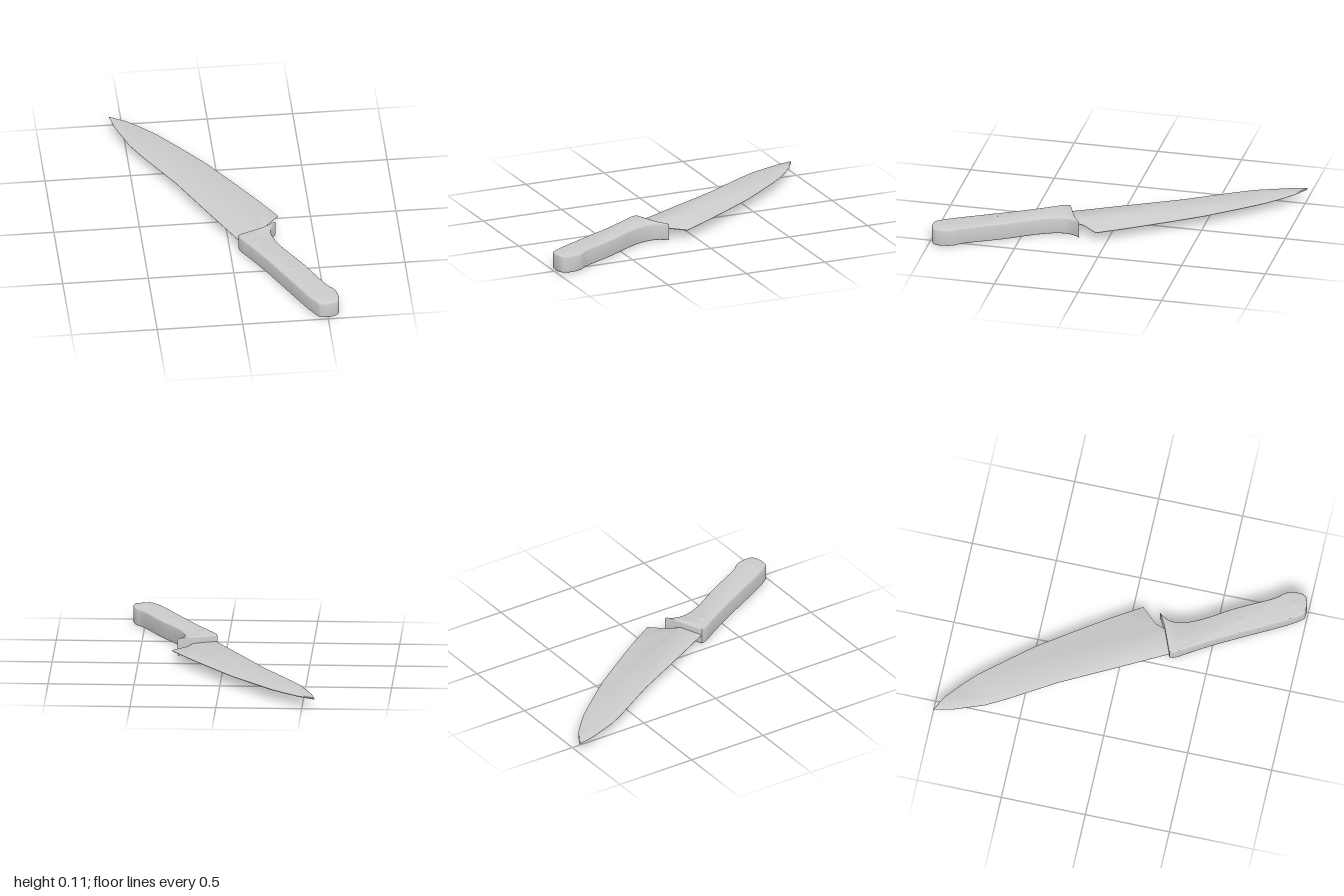
import * as THREE from 'three';
import { toCreasedNormals } from 'three/addons/utils/BufferGeometryUtils.js';

const material = new THREE.MeshStandardMaterial({ color: 0xcccccc });
const toPoints = (list) => list.map(([x, z]) => new THREE.Vector2(x, -z));
const smooth = (list, n) => new THREE.SplineCurve(toPoints(list)).getPoints(n);

// Plate lying flat: plan outline extruded upwards from y0 to y1 with bevelled rims
function plate(name, points, y0, y1, bevel, inset, segments) {
  const geometry = new THREE.ExtrudeGeometry(new THREE.Shape(points), {
    depth: y1 - y0 - 2 * bevel, steps: 1, bevelEnabled: true,
    bevelThickness: bevel, bevelSize: inset, bevelOffset: -inset, bevelSegments: segments,
  });
  geometry.translate(0, 0, y0 + bevel);
  geometry.rotateX(-Math.PI / 2);
  const mesh = new THREE.Mesh(toCreasedNormals(geometry, 0.6), material);
  mesh.name = name;
  return mesh;
}

export function createModel() {
  const knife = new THREE.Group();
  knife.name = 'kitchenKnife';

  // Blade: curved cutting edge, notched heel, short tang inside the handle, straight spine
  const blade = toPoints([
    [-0.575, -1], [-0.48, -0.947], [-0.4, -0.88], [-0.315, -0.8], [-0.205, -0.67],
    [-0.065, -0.5], [0.08, -0.29], [0.2, -0.11], [0.305, 0.06],
    [0.22, 0.153], [0.2, 0.21], [0.2, 0.26], [0.09, 0.31], [0.05, 0.265],
    [-0.1, -0.02], [-0.255, -0.32], [-0.425, -0.6], [-0.485, -0.71], [-0.553, -0.895],
  ]);
  knife.add(plate('blade', blade, 0.055, 0.065, 0.004, 0.006, 1));

  // Handle: finger guard, concave grip and rounded butt
  const grip = smooth([
    [0.278, 0.165], [0.245, 0.225], [0.245, 0.295], [0.273, 0.375], [0.32, 0.46],
    [0.4, 0.59], [0.505, 0.79], [0.553, 0.85], [0.57, 0.915], [0.563, 0.965],
    [0.525, 0.987], [0.463, 0.99], [0.437, 0.97], [0.385, 0.89], [0.305, 0.74],
    [0.19, 0.525], [0.11, 0.39], [0.06, 0.31], [0.05, 0.272],
  ], 72);
  const collar = toPoints([[0.06, 0.266], [0.2, 0.21]]);
  knife.add(plate('handle', [...grip, ...collar], 0.003, 0.105, 0.01, 0.008, 3));

  // Low domed rivets on both faces
  const dome = new THREE.SphereGeometry(1, 20, 6, 0, Math.PI * 2, 0, Math.PI / 2);
  for (const [x, z] of [[0.15, 0.34], [0.33, 0.63], [0.495, 0.91]]) {
    for (const side of [1, -1]) {
      const rivet = new THREE.Mesh(dome, material);
      rivet.name = side > 0 ? 'topRivet' : 'bottomRivet';
      rivet.scale.set(0.028, 0.004, 0.028);
      rivet.position.set(x, side > 0 ? 0.104 : 0.004, z);
      if (side < 0) rivet.rotation.x = Math.PI;
      knife.add(rivet);
    }
  }
  return knife;
}
